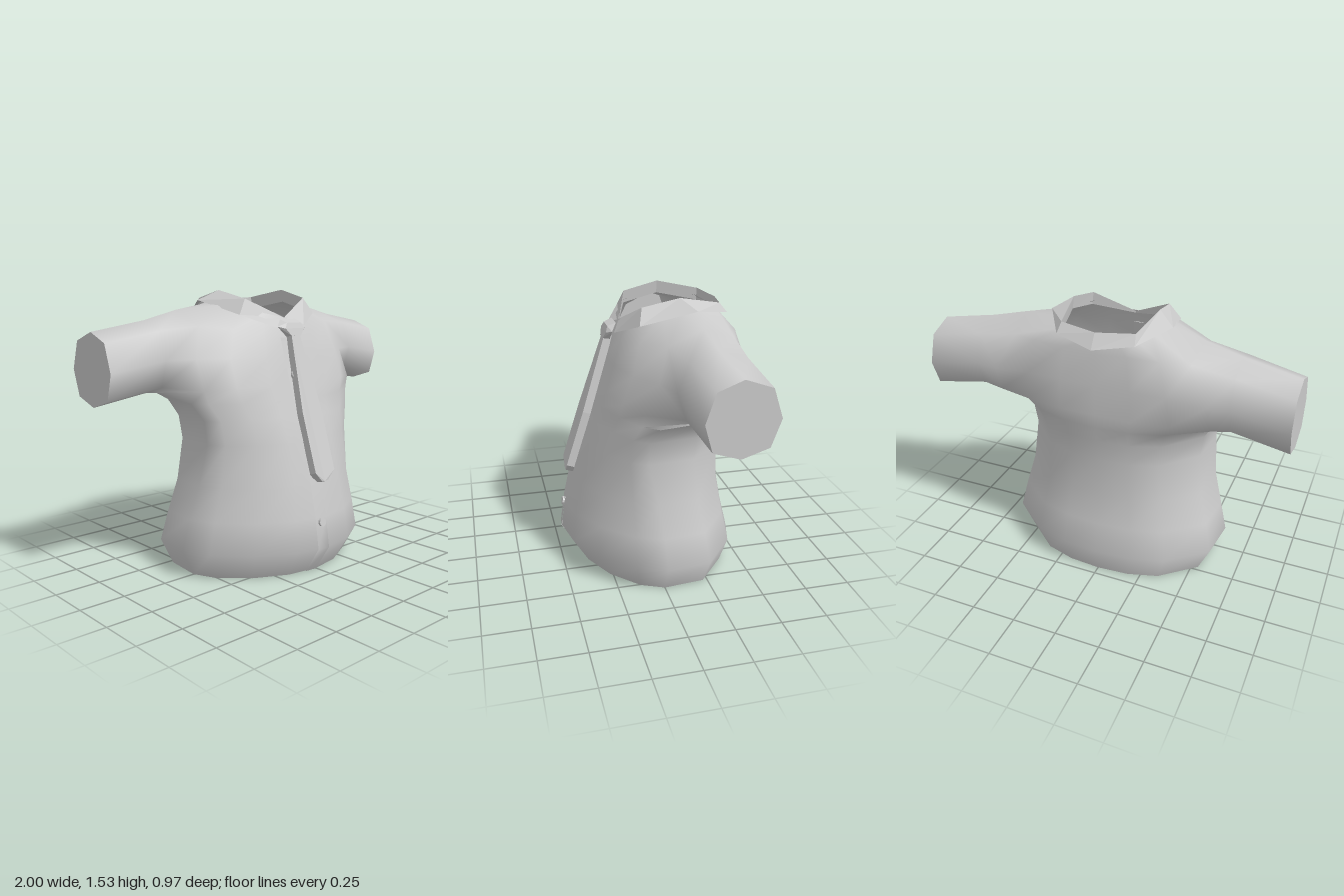
import * as THREE from 'three';
import { ConvexGeometry } from 'three/addons/geometries/ConvexGeometry.js';

const material = (extra = {}) => new THREE.MeshStandardMaterial({ color: 0xcccccc, ...extra });

function addMesh(parent, name, geometry, mat) {
  const mesh = new THREE.Mesh(geometry, mat);
  mesh.name = name;
  parent.add(mesh);
  return mesh;
}

function indexed(points, index) {
  const g = new THREE.BufferGeometry();
  g.setAttribute('position', new THREE.Float32BufferAttribute(points.flat(), 3));
  g.setIndex(index);
  g.computeVertexNormals();
  return g;
}

// Grid of quads through rows of points
function strip(rows) {
  const n = rows[0].length, index = [];
  for (let r = 0; r < rows.length - 1; r++)
    for (let j = 0; j < n - 1; j++) {
      const a = r * n + j, d = a + n;
      index.push(a, a + 1, d + 1, a, d + 1, d);
    }
  return indexed(rows.flat(), index);
}

const mirrored = ([x, y, z]) => [-x, y, z];

// Half cross-section of the body, front to back: [width share, depth share]
const SECTION = [[0, 1], [.32, .92], [.64, .68], [.9, .32], [1, 0], [.96, -.5], [.62, -.86], [.32, -.97], [0, -1]];
// Body levels: y, half width, front z, back z, z of the widest point
const LEVELS = [
  [0, .56, .39, -.45, 0], [.15, .63, .485, -.485, 0], [.32, .59, .46, -.445, .01],
  [.5, .54, .42, -.415, .035], [.73, .515, .36, -.415, .08], [.86, .535, .315, -.43, .085], [.95, .585, .285, -.445, .04],
];
// Chest, armhole, shoulder and neck half rings, front to back
const CHEST = [[0, 1.03, .26], [.2, 1.03, .245], [.4, 1.03, .195], [.55, 1.02, .11], [.66, 1, -.18],
  [.6, 1.02, -.36], [.4, 1.03, -.42], [.2, 1.03, -.45], [0, 1.03, -.45]];
const ARMHOLE = [[0, 1.18, .21], [.19, 1.18, .195], [.4, 1.18, .14], [.55, 1.18, .04], [.58, 1.18, -.2],
  [.58, 1.18, -.43], [.38, 1.2, -.44], [.19, 1.2, -.445], [0, 1.2, -.44]];
const SHOULDER = [[0, 1.3, .175], [.17, 1.31, .155], [.34, 1.33, .09], [.48, 1.35, -.02], [.5, 1.43, -.2],
  [.48, 1.37, -.37], [.34, 1.38, -.42], [.17, 1.38, -.43], [0, 1.36, -.42]];
const NECK = [[0, 1.385, .13], [.12, 1.41, .1], [.22, 1.44, .05], [.25, 1.46, -.05], [.26, 1.475, -.16],
  [.24, 1.465, -.28], [.2, 1.45, -.37], [.1, 1.44, -.395], [0, 1.44, -.41]];
// Cuff octagon as [y, z], in the same order as the armhole loop
const CUFF = [[.99, -.09], [.945, -.23], [.99, -.37], [1.13, -.42], [1.28, -.37], [1.33, -.23], [1.28, -.1], [1.13, -.05]];

const HALF_RINGS = [
  ...LEVELS.map(([y, w, zf, zb, c]) => SECTION.map(([u, v]) => [u * w, y, c + (v > 0 ? v * (zf - c) : v * (c - zb))])),
  CHEST, ARMHOLE, SHOULDER, NECK,
];

// Front centre line of the shirt
function frontZ(y) {
  const line = HALF_RINGS.map((r) => r[0]);
  const i = Math.max(1, line.findIndex((p) => p[1] >= y));
  const [a, b] = [line[i - 1], line[i]];
  return a[2] + (b[2] - a[2]) * (y - a[1]) / (b[1] - a[1]);
}

// Body with sleeves growing out of two armholes
function shirtGeometry() {
  const N = 16, points = [], index = [];
  for (const half of HALF_RINGS) points.push(...half, ...half.slice(1, 8).reverse().map(mirrored));
  const quad = (a, b, c, d, flip) => index.push(...(flip ? [a, c, b, a, d, c] : [a, b, c, a, c, d]));
  const chest = LEVELS.length;
  for (let r = 0; r < HALF_RINGS.length - 1; r++)
    for (let j = 0; j < N; j++) {
      const hole = (r === chest || r === chest + 1) && [3, 4, 11, 12].includes(j);
      const k = (j + 1) % N;
      if (!hole) quad(r * N + j, r * N + k, (r + 1) * N + k, (r + 1) * N + j);
    }
  const loopCells = [[0, 3], [0, 4], [0, 5], [1, 5], [2, 5], [2, 4], [2, 3], [1, 3]];
  for (const side of [1, -1]) {
    let loop = loopCells.map(([r, j]) => (chest + r) * N + (side > 0 ? j : N - j));
    const addLoop = (x, lift, grow) => CUFF.map(([y, z]) =>
      points.push([side * x, y + lift, -.235 + (z + .235) * grow + (grow - 1) * .25]) - 1);
    for (const next of [addLoop(.7, .05, 1.09), addLoop(1, 0, 1)]) {
      for (let k = 0; k < 8; k++) {
        const m = (k + 1) % 8;
        quad(loop[k], loop[m], next[m], next[k], side < 0);
      }
      loop = next;
    }
    // Closed cuff with its own vertices for a hard edge
    const cap = addLoop(1, 0, 1);
    for (let k = 1; k < 7; k++) index.push(cap[0], cap[side > 0 ? k : k + 1], cap[side > 0 ? k + 1 : k]);
  }
  return indexed(points, index);
}

// Folded collar: stand, fold and outer edge, from one front tip round to the other
function collarGeometry() {
  const fold = [[0, 1.385, .125], [.22, 1.49, .05], [.24, 1.535, -.15], [.2, 1.49, -.38], [0, 1.48, -.42]];
  const edge = [[.105, 1.335, .175], [.28, 1.405, .075], [.335, 1.48, -.22], [.21, 1.44, -.42], [0, 1.405, -.47]];
  const stand = fold.map(([x, y, z], i) => [x * 1.04, y - (i ? .07 : .01), z]);
  const full = (h) => [...h, ...h.slice(0, 4).reverse().map(mirrored)];
  return strip([edge, fold, stand].map(full));
}

function tieBladeGeometry() {
  const shape = new THREE.Shape();
  const side = [[.03, 1.3], [.073, .87], [.073, .555], [.025, .505]];
  const outline = [...side, [0, .5], ...side.map(([x, y]) => [-x, y]).reverse()];
  shape.setFromPoints(outline.map(([x, y]) => new THREE.Vector2(x, y)));
  const depth = .042;
  const g = new THREE.ExtrudeGeometry(shape, { depth, bevelEnabled: false });
  // Lean the blade along the chest, its tip hanging straight and its front edge set higher
  const p = g.attributes.position;
  for (let i = 0; i < p.count; i++) {
    const [y, z] = [p.getY(i), p.getZ(i)];
    p.setY(i, y + z * .35);
    p.setZ(i, z + .173 + (1.29 - Math.max(y, .555)) * .322);
  }
  g.computeVertexNormals();
  return g;
}

export function createModel() {
  const model = new THREE.Group();
  model.name = 'shirtWithTie';
  const cloth = material({ side: THREE.DoubleSide });
  const flatCloth = material({ side: THREE.DoubleSide, flatShading: true });

  addMesh(model, 'shirt', shirtGeometry(), cloth);
  addMesh(model, 'collar', collarGeometry(), flatCloth);

  // Button placket overlapping at the front
  const placketLevels = [0, .15, .32, .5, .73, .86, .95, 1.03, 1.18, 1.28];
  addMesh(model, 'placket', strip(placketLevels.map((y) =>
    [[-.075, y, frontZ(y) - .004], [0, y, frontZ(y) + .003]])), cloth);

  // Buttons, mostly behind the tie
  for (const y of [.295, .56, .82, 1.08]) {
    const button = addMesh(model, 'button', new THREE.CylinderGeometry(.024, .024, .016, 12), material({ flatShading: true }));
    button.rotation.x = Math.PI / 2 - Math.atan2(frontZ(y - .05) - frontZ(y + .05), .1);
    button.position.set(-.035, y, frontZ(y) + .003);
  }

  // Tie
  const tie = new THREE.Group();
  tie.name = 'tie';
  model.add(tie);
  addMesh(tie, 'tieBlade', tieBladeGeometry(), material({ flatShading: true }));
  const knot = [[.105, 1.34, .185], [.06, 1.378, .155], [.04, 1.285, .185], [.05, 1.36, .2], [.07, 1.33, .212], [.035, 1.29, .224]];
  addMesh(tie, 'tieKnot', new ConvexGeometry([...knot, ...knot.map(mirrored)].map((p) => new THREE.Vector3(...p))),
    material({ flatShading: true }));
  return model;
}
